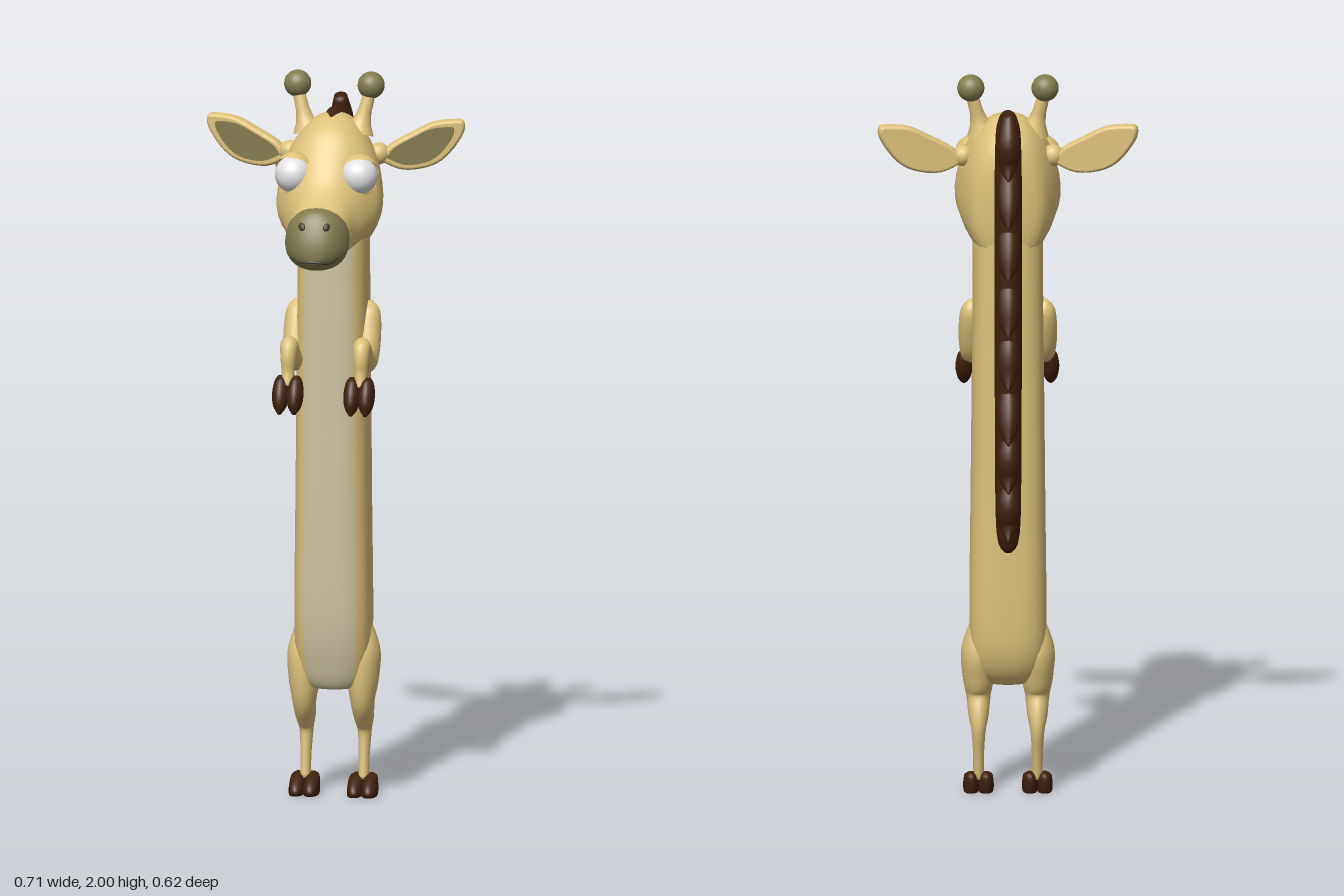
import * as THREE from 'three';

const mat = (name, color, side = THREE.FrontSide) => {
  const m = new THREE.MeshStandardMaterial({ color, side });
  m.name = name;
  return m;
};

// Catmull-Rom through rows of numbers, k steps per span
function smooth(rows, k) {
  const out = [];
  for (let i = 0; i < rows.length - 1; i++) {
    const a = rows[Math.max(i - 1, 0)], b = rows[i], c = rows[i + 1], d = rows[Math.min(i + 2, rows.length - 1)];
    for (let j = 0; j < k; j++) {
      const t = j / k;
      out.push(b.map((v, n) => v + 0.5 * t * (c[n] - a[n] + t * (2 * a[n] - 5 * v + 4 * c[n] - d[n] + t * (3 * (v - c[n]) + d[n] - a[n])))));
    }
  }
  out.push(rows[rows.length - 1]);
  return out;
}

// Skin of rings; a ring is [y1, z1, y2, z2, halfWidth, squareness, taper]
function loft(rows, k = 4, n = 40, paint = () => 0) {
  const rings = smooth(rows, k), pos = [], lists = [[], []];
  const pw = (v, e) => Math.sign(v) * Math.abs(v) ** (2 / e);
  for (const [y1, z1, y2, z2, w, e = 2, t = 0] of rings) {
    for (let i = 0; i < n; i++) {
      const a = (i / n) * Math.PI * 2, c = pw(Math.cos(a), e), s = pw(Math.sin(a), e);
      pos.push(w * s * (1 - t * c), (y1 + y2 + (y2 - y1) * c) / 2, (z1 + z2 + (z2 - z1) * c) / 2);
    }
  }
  const last = rings.length - 1;
  for (const r of [rings[0], rings[last]]) pos.push(0, (r[0] + r[2]) / 2, (r[1] + r[3]) / 2);
  const c0 = rings.length * n, c1 = c0 + 1;
  for (let i = 0; i < n; i++) {
    const j = (i + 1) % n;
    const ang = Math.abs(((i + 0.5) / n) * Math.PI * 2 - (i < n / 2 ? 0 : Math.PI * 2));
    for (let r = 0; r < last; r++) {
      const p = r * n, q = p + n;
      lists[paint(ang, r / last)].push(p + i, p + j, q + i, p + j, q + j, q + i);
    }
    lists[paint(0, 0)].push(c0, j, i);
    lists[paint(ang, 1)].push(c1, last * n + i, last * n + j);
  }
  // keep the skin facing outwards
  const P = (i) => new THREE.Vector3().fromArray(pos, i * 3);
  let vol = 0;
  for (const l of lists) for (let i = 0; i < l.length; i += 3) vol += P(l[i]).dot(P(l[i + 1]).cross(P(l[i + 2])));
  const idx = lists.flat();
  if (vol < 0) for (let i = 0; i < idx.length; i += 3) [idx[i], idx[i + 1]] = [idx[i + 1], idx[i]];
  const g = new THREE.BufferGeometry();
  g.setAttribute('position', new THREE.Float32BufferAttribute(pos, 3));
  g.setIndex(idx);
  g.addGroup(0, lists[0].length, 0);
  g.addGroup(lists[0].length, lists[1].length, 1);
  g.computeVertexNormals();
  return g;
}

// Round limb along points [y, z, radius], width scaled in x
function limb(points, wide = 1, n = 20) {
  const pts = smooth(points, 5);
  return loft(pts.map(([y, z, r], i) => {
    const a = pts[Math.max(i - 1, 0)], b = pts[Math.min(i + 1, pts.length - 1)];
    const dy = b[0] - a[0], dz = b[1] - a[1], l = Math.hypot(dy, dz);
    return [y - (dz / l) * r, z + (dy / l) * r, y + (dz / l) * r, z - (dy / l) * r, r * wide];
  }), 1, n);
}

export function createModel() {
  const tan = mat('tan hide', 0xdfc27a, THREE.DoubleSide), cream = mat('cream belly', 0xcdc3a0);
  const olive = mat('olive', 0x827c4e, THREE.DoubleSide), brown = mat('dark brown', 0x40200d);
  const white = mat('eye white', 0xe4e4e4), dark = mat('dark olive', 0x423f26);
  const root = new THREE.Group();
  const add = (name, geo, material, x = 0, y = 0, z = 0) => {
    const m = new THREE.Mesh(geo, material);
    m.name = name;
    m.position.set(x, y, z);
    root.add(m);
    return m;
  };

  // Long body with a cream front
  add('body', loft([
    [0.295, -0.09, 0.3, -0.05, 0.03, 2], [0.315, -0.14, 0.305, -0.025, 0.075, 2.3],
    [0.38, -0.178, 0.36, -0.005, 0.1, 2.6], [0.5, -0.19, 0.5, 0.015, 0.105, 3],
    [0.8, -0.192, 0.8, 0.02, 0.102, 3], [1.1, -0.195, 1.1, 0.02, 0.099, 3],
    [1.4, -0.197, 1.4, 0.02, 0.096, 3], [1.6, -0.197, 1.6, 0.015, 0.096, 2.8],
    [1.74, -0.195, 1.74, -0.02, 0.095, 2.4], [1.82, -0.175, 1.82, -0.06, 0.07, 2],
  ], 4, 40, (a) => (a < Math.PI / 5 ? 1 : 0)), [tan, cream]);

  // Head from the back of the skull to the muzzle
  add('head', loft([
    [1.62, -0.202, 1.75, -0.202, 0.03, 2, 0], [1.5, -0.185, 1.83, -0.185, 0.09, 2.2, 0.05],
    [1.49, -0.12, 1.88, -0.13, 0.122, 2.2, 0.12], [1.52, -0.05, 1.888, -0.06, 0.138, 2.2, 0.18],
    [1.535, 0.02, 1.86, 0.01, 0.138, 2.2, 0.22], [1.53, 0.075, 1.795, 0.065, 0.115, 2.2, 0.2],
    [1.525, 0.13, 1.715, 0.13, 0.092, 2.2, 0.15], [1.535, 0.2, 1.672, 0.2, 0.084, 2.3, 0.08],
    [1.513, 0.24, 1.682, 0.235, 0.086, 2.3, 0.08], [1.52, 0.28, 1.668, 0.272, 0.066, 2.2, 0.05],
    [1.54, 0.303, 1.615, 0.298, 0.036, 2, 0], [1.56, 0.307, 1.58, 0.306, 0.008, 2, 0],
  ], 4, 40, (a, t) => (t > 7 / 11 - 1e-6 ? 1 : 0)), [tan, olive]);
  add('mouth', new THREE.TubeGeometry(new THREE.CatmullRomCurve3(
    [[-0.07, 1.56, 0.255], [-0.045, 1.542, 0.288], [0, 1.545, 0.305], [0.045, 1.542, 0.288], [0.07, 1.56, 0.255]]
      .map((p) => new THREE.Vector3(...p))), 24, 0.004, 6), dark);

  // Mane strip and its hanging locks
  add('mane', loft([
    [0.69, -0.185, 0.69, -0.205, 0.01], [0.76, -0.17, 0.74, -0.245, 0.032], [1, -0.17, 1, -0.255, 0.036],
    [1.3, -0.17, 1.3, -0.26, 0.037], [1.55, -0.17, 1.56, -0.262, 0.037], [1.7, -0.165, 1.72, -0.258, 0.037],
    [1.78, -0.15, 1.81, -0.237, 0.036], [1.83, -0.12, 1.873, -0.18, 0.034], [1.85, -0.08, 1.9, -0.11, 0.025],
    [1.86, -0.04, 1.888, -0.05, 0.012], [1.86, -0.02, 1.872, -0.02, 0.003],
  ], 4, 24), brown);
  for (const [y, z] of [[1.74, -0.272], [1.615, -0.306], [1.467, -0.302], [1.31, -0.298], [1.16, -0.29], [1.01, -0.302], [0.87, -0.276], [0.735, -0.27]]) {
    add('maneLock', limb([[y + 0.17, -0.215, 0.02], [y + 0.1, -0.238, 0.036], [y + 0.04, z + 0.034, 0.03], [y, z, 0.003]], 0.9, 14), brown);
  }

  for (const s of [1, -1]) {
    // Eyes with upper and lower lids
    add('eye', new THREE.SphereGeometry(0.051, 28, 20), white, s * 0.09, 1.74, 0.055);
    const lid = add('upperLid', new THREE.SphereGeometry(0.058, 28, 12, 0, Math.PI * 2, 0, 1.35), tan, s * 0.088, 1.742, 0.05);
    lid.rotation.set(-0.75, 0, s * 0.15);
    const bag = add('lowerLid', new THREE.SphereGeometry(0.056, 28, 10, 0, Math.PI * 2, 0, 0.95), tan, s * 0.088, 1.739, 0.05);
    bag.rotation.set(Math.PI + 0.45, 0, 0);

    // Nostrils
    const nostril = add('nostril', new THREE.SphereGeometry(0.013, 14, 10), dark, s * 0.034, 1.638, 0.281);
    nostril.scale.set(0.8, 1, 0.5);
    nostril.rotation.set(-0.5, s * 0.5, -s * 0.5);

    // Horns with round knobs
    const horn = add('horn', new THREE.LatheGeometry([[0.042, 0], [0.026, 0.03], [0.019, 0.06], [0.016, 0.13]]
      .map((p) => new THREE.Vector2(...p)), 20), tan, s * 0.07, 1.835, -0.078);
    horn.rotation.set(-0.15, 0, -s * 0.25);
    add('hornKnob', new THREE.SphereGeometry(0.037, 24, 18), olive, s * 0.101, 1.963, -0.098);

    // Ears: a rounded leaf with an olive inner plate
    const leaf = (k) => {
      const pts = [[0, -0.02], [0.06, -0.045], [0.13, -0.038], [0.18, -0.01], [0.222, 0.045], [0.23, 0.078], [0.212, 0.084], [0.15, 0.077], [0.09, 0.048], [0.03, 0.015]]
        .map(([x, y]) => new THREE.Vector2(s * (0.13 + x * k), y * k));
      return new THREE.Shape(new THREE.SplineCurve([...pts, pts[0]]).getPoints(40));
    };
    const ear = new THREE.ExtrudeGeometry(leaf(0.96), { depth: 0.006, bevelThickness: 0.016, bevelSize: 0.009, bevelOffset: -0.002, bevelSegments: 5 });
    const inner = new THREE.ExtrudeGeometry(leaf(0.8), { depth: 0.004, bevelEnabled: false });
    add('ear', ear, tan, 0, 1.781, -0.078).rotation.y = s * 0.17;
    add('innerEar', inner, olive, s * 0.018, 1.784, -0.054).rotation.y = s * 0.17;
    add('earRoot', new THREE.SphereGeometry(0.03, 16, 12), tan, s * 0.122, 1.775, -0.095);

    // Bent arms
    add('arm', limb([[1.37, -0.085, 0.008], [1.34, -0.08, 0.032], [1.27, -0.055, 0.038], [1.215, -0.025, 0.033],
      [1.235, 0.025, 0.028], [1.268, 0.068, 0.027], [1.24, 0.086, 0.024], [1.2, 0.089, 0.02], [1.16, 0.1, 0.018]], 0.9), tan, s * 0.1);
    // Bent legs
    add('leg', limb([[0.48, -0.1, 0.03], [0.4, -0.095, 0.065], [0.32, -0.085, 0.06], [0.265, -0.082, 0.046], [0.215, -0.108, 0.038],
      [0.175, -0.122, 0.027], [0.11, -0.112, 0.021], [0.04, -0.1, 0.02]], 0.72), tan, s * 0.08);
    // Cloven hooves
    for (const t of [-0.02, 0.02]) {
      add('frontHoof', limb([[1.188, 0.088, 0.012], [1.172, 0.093, 0.025], [1.14, 0.108, 0.031], [1.11, 0.124, 0.024], [1.09, 0.135, 0.006]], 0.75, 16), brown, s * 0.098 + t);
      add('hindHoof', loft([[0, -0.125, 0, -0.035, 0.02, 2.3], [0.012, -0.13, 0.012, -0.03, 0.022, 2.3], [0.032, -0.133, 0.03, -0.042, 0.021, 2.2],
        [0.05, -0.131, 0.048, -0.07, 0.018, 2], [0.058, -0.12, 0.056, -0.09, 0.008, 2]], 3, 18), brown, s * 0.08 + t);
    }
  }
  return root;
}
